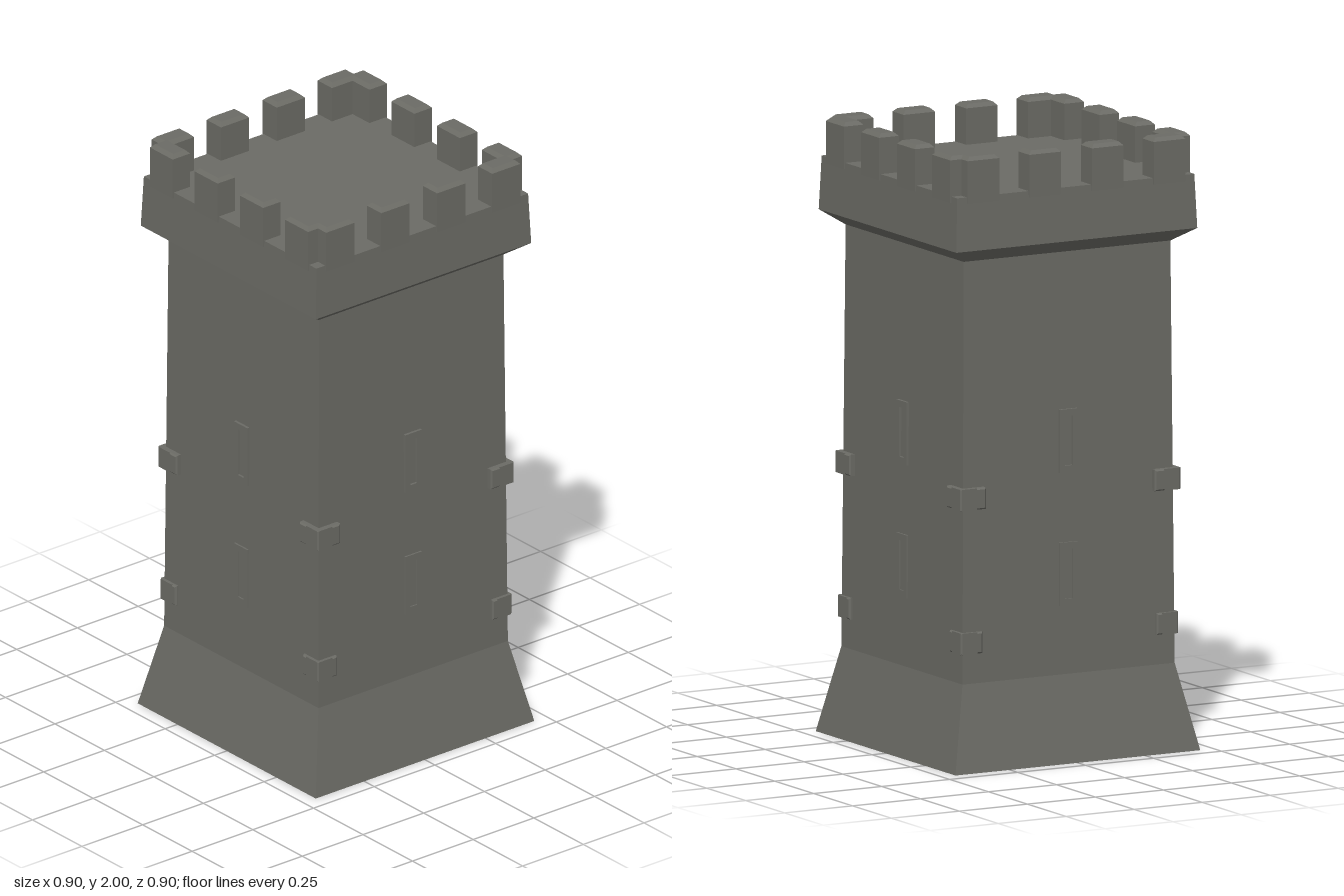
import * as THREE from 'three';

const stone = new THREE.MeshStandardMaterial({ color: 0x6b6b65 });
stone.name = 'grey stone';

// Faceted normals without sharing vertices
function facet(geometry) {
  const g = geometry.toNonIndexed();
  g.computeVertexNormals();
  return g;
}

function addMesh(parent, name, geometry) {
  const mesh = new THREE.Mesh(geometry, stone);
  mesh.name = name;
  parent.add(mesh);
  return mesh;
}

// Square tower section from [half width, height] pairs
function squareLoft(profile) {
  const points = profile.map(([half, y]) => new THREE.Vector2(half * Math.SQRT2, y));
  return facet(new THREE.LatheGeometry(points, 4, Math.PI / 4));
}

// Block with its top edges chamfered
function chamferedBlock(w, h, d, bevel) {
  const g = new THREE.BoxGeometry(w, h, d, 1, 2, 1);
  const p = g.attributes.position;
  for (let i = 0; i < p.count; i++) {
    const y = p.getY(i);
    if (y > h / 4) {
      p.setX(i, p.getX(i) - Math.sign(p.getX(i)) * bevel);
      p.setZ(i, p.getZ(i) - Math.sign(p.getZ(i)) * bevel);
    } else if (y > -h / 4) {
      p.setY(i, h / 2 - bevel);
    }
  }
  return facet(g);
}

// Narrow window surround with an open slit
function slitFrame(height) {
  const rect = (path, x, y) => path.moveTo(-x, -y).lineTo(x, -y).lineTo(x, y).lineTo(-x, y).closePath();
  const shape = new THREE.Shape();
  rect(shape, 0.034, height / 2);
  const slit = new THREE.Path();
  rect(slit, 0.014, height / 2 - 0.022);
  shape.holes.push(slit);
  return new THREE.ExtrudeGeometry(shape, { depth: 0.012, bevelEnabled: false });
}

export function createModel() {
  const tower = new THREE.Group();
  tower.name = 'tower';

  // Flared plinth, tapering shaft and overhanging parapet
  addMesh(tower, 'plinth', squareLoft([[0, 0], [0.45, 0], [0.39, 0.28]]));
  addMesh(tower, 'shaft', squareLoft([[0.39, 0.28], [0.38, 1.65]]));
  addMesh(tower, 'parapet', squareLoft([[0.38, 1.65], [0.443, 1.695], [0.436, 1.87], [0, 1.87]]));

  const merlon = chamferedBlock(0.116, 0.15, 0.072, 0.012);
  const windows = slitFrame(0.205);

  for (let side = 0; side < 4; side++) {
    const wall = new THREE.Group();
    wall.name = ['frontWall', 'leftWall', 'backWall', 'rightWall'][side];
    wall.rotation.y = side * Math.PI / 2;
    tower.add(wall);

    // Merlons, leaving a small notch at each outer corner
    for (const x of [-0.342, -0.115, 0.115, 0.342]) {
      addMesh(wall, 'merlon', merlon).position.set(x, 1.925, 0.405);
    }

    // Two arrow slits, one above the other
    for (const y of [0.605, 1.037]) {
      addMesh(wall, 'arrowSlit', windows).position.set(0, y, 0.381);
    }

    // Corner stones, half of each on every wall
    for (const [y, outer, length] of [[0.412, 0.4, 0.08], [0.88, 0.405, 0.095]]) {
      const block = chamferedBlock(length, 0.07, 0.06, 0.006);
      block.rotateX(Math.PI / 2);
      const corner = chamferedBlock(length, 0.06, 0.07, 0.005).rotateX(Math.PI / 2);
      block.dispose();
      for (const s of [-1, 1]) {
        addMesh(wall, 'cornerStone', corner).position.set(s * (outer - length / 2), y, outer - 0.03);
      }
    }
  }
  return tower;
}
